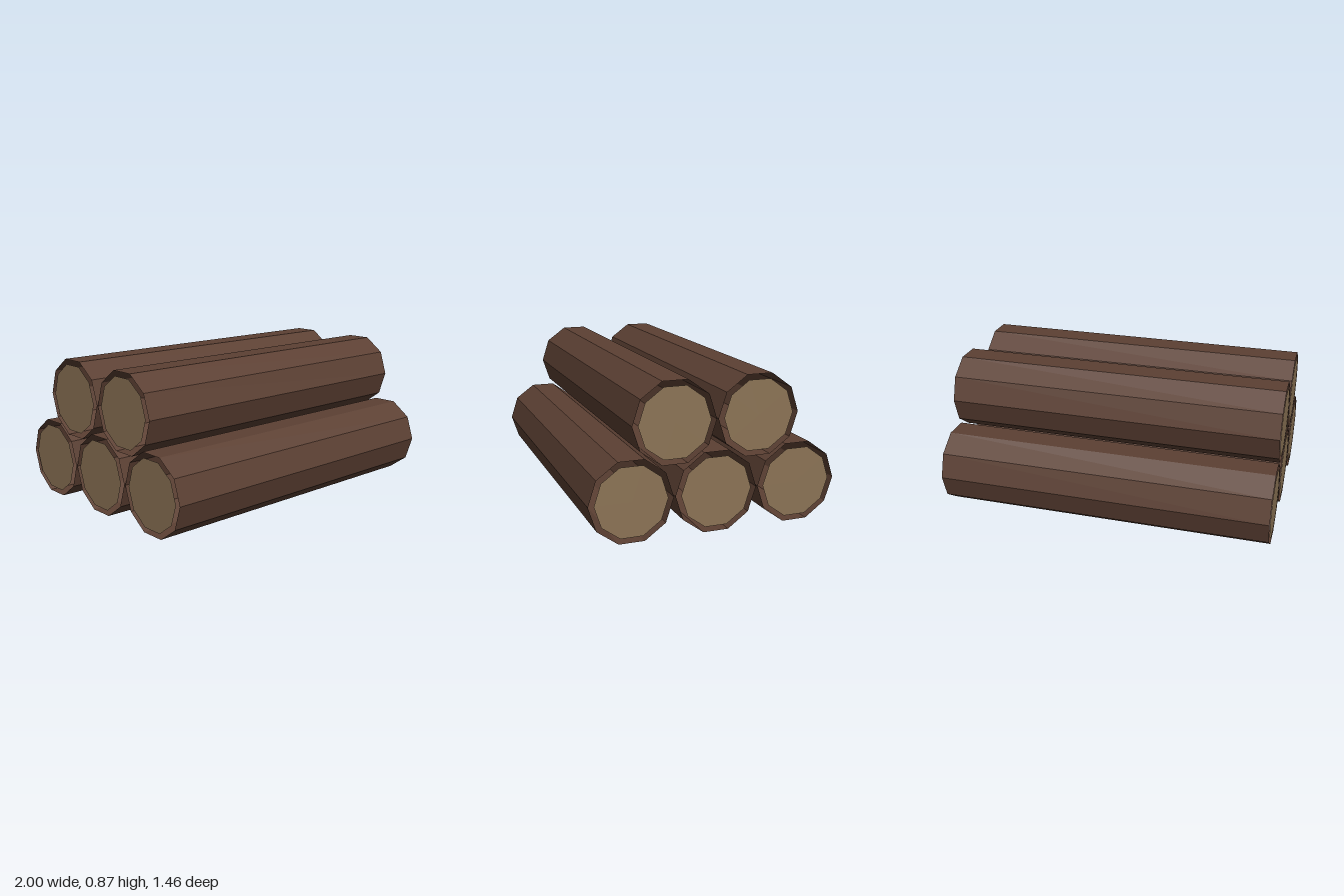
import * as THREE from 'three';

const LENGTH = 2, SIDES = 10;
const BARK_RADIUS = 0.24, CORE_RADIUS = 0.208;

export function createModel() {
  const group = new THREE.Group();
  group.name = 'logPile';

  const barkMaterial = new THREE.MeshStandardMaterial({
    color: 0x5c4033, flatShading: true, side: THREE.DoubleSide,
  });
  const woodMaterial = new THREE.MeshStandardMaterial({
    color: 0x8b7355, flatShading: true, side: THREE.DoubleSide,
  });

  // Open bark tube lying along x, with a corner pointing to +z and -z
  const barkGeometry = new THREE.CylinderGeometry(BARK_RADIUS, BARK_RADIUS, LENGTH, SIDES, 1, true);
  barkGeometry.rotateZ(Math.PI / 2);
  // Cut face, slightly smaller than the bark so a narrow gap is left around it
  const cutGeometry = new THREE.CircleGeometry(CORE_RADIUS, SIDES);

  function addLog(name, y, z) {
    const log = new THREE.Group();
    log.name = name;
    log.position.set(0, y, z);

    const bark = new THREE.Mesh(barkGeometry, barkMaterial);
    bark.name = 'bark';
    log.add(bark);

    for (const side of [1, -1]) {
      const cut = new THREE.Mesh(cutGeometry, woodMaterial);
      cut.name = side > 0 ? 'leftCutFace' : 'rightCutFace';
      cut.position.x = side * LENGTH / 2;
      cut.rotation.y = side * Math.PI / 2;
      log.add(cut);
    }
    group.add(log);
  }

  // Three logs below, two resting in the valleys above
  [0.49, 0, -0.49].forEach((z, i) => addLog(`bottomLog${i + 1}`, 0.228, z));
  [0.245, -0.245].forEach((z, i) => addLog(`topLog${i + 1}`, 0.638, z));

  return group;
}
